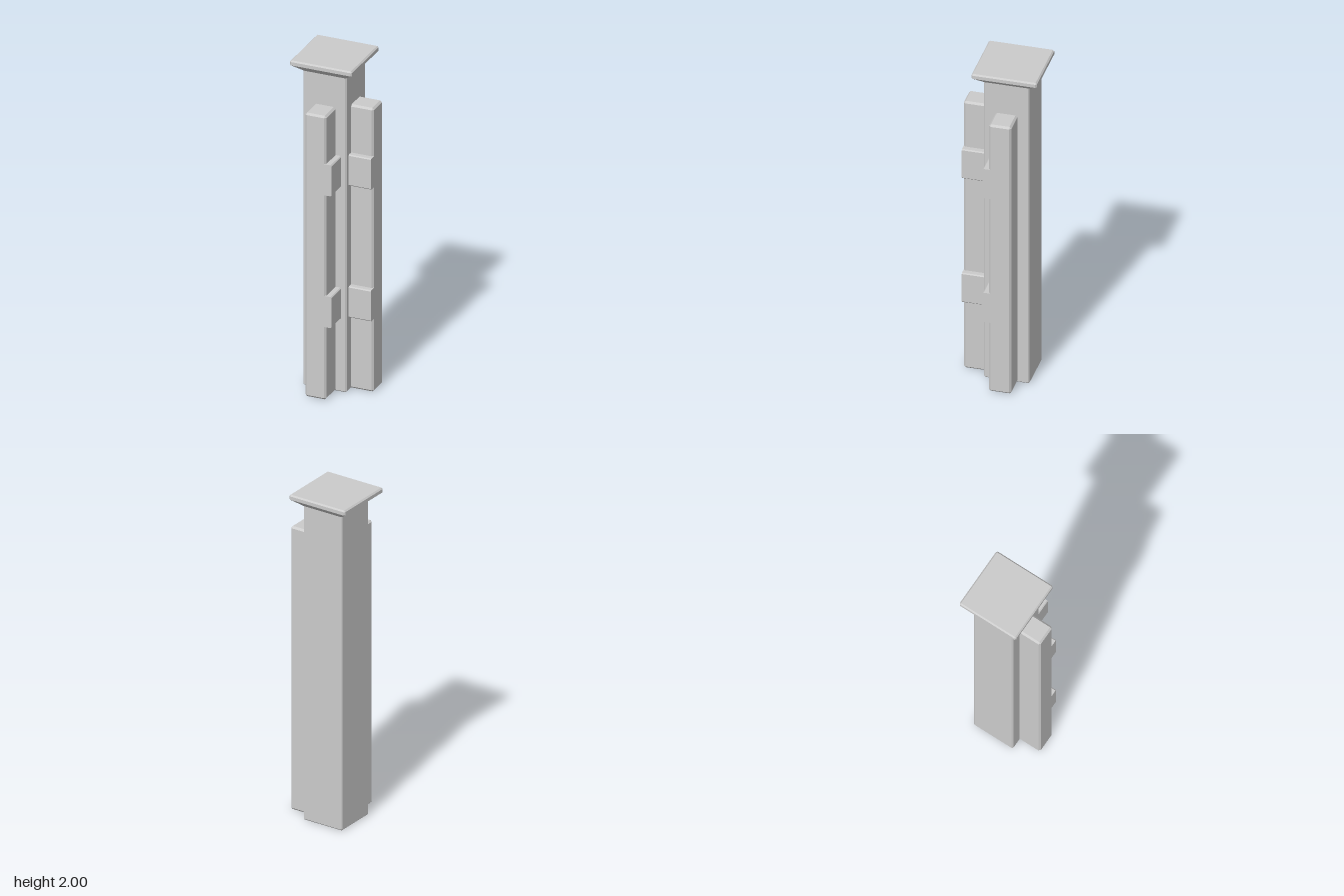
import * as THREE from 'three';
import { ConvexGeometry } from 'three/addons/geometries/ConvexGeometry.js';

const material = new THREE.MeshStandardMaterial({ color: 0xcccccc, flatShading: true });

// Corner points of a box with every edge chamfered by c
function chamferedBox([x0, x1], [y0, y1], [z0, z1], c) {
  const points = [];
  for (const [x, sx] of [[x0, 1], [x1, -1]])
    for (const [y, sy] of [[y0, 1], [y1, -1]])
      for (const [z, sz] of [[z0, 1], [z1, -1]])
        points.push(
          [x, y + sy * c, z + sz * c],
          [x + sx * c, y, z + sz * c],
          [x + sx * c, y + sy * c, z]
        );
  return points;
}

// Tab running along z, chamfered only at its outer (+x) edges
function tabPoints(y0, y1) {
  const c = 0.006;
  const profile = [[0.014, y0], [0.06 - c, y0], [0.06, y0 + c], [0.06, y1 - c], [0.06 - c, y1], [0.014, y1]];
  return profile.flatMap(([x, y]) => [[x, y, 0.08], [x, y, 0.226]]);
}

// Square section around the post axis with its corners cut by c
function squareRing(y, h, c) {
  const points = [];
  for (const sx of [-1, 1])
    for (const sz of [-1, 1])
      points.push([-0.04 + sx * (h - c), y, -0.04 + sz * h], [-0.04 + sx * h, y, -0.04 + sz * (h - c)]);
  return points;
}

function solid(name, points) {
  const geometry = new ConvexGeometry(points.map((p) => new THREE.Vector3(...p)));
  const mesh = new THREE.Mesh(geometry, material);
  mesh.name = name;
  return mesh;
}

export function createModel() {
  const group = new THREE.Group();
  group.name = 'cornerPost';

  // Square post
  group.add(solid('post', chamferedBox([-0.171, 0.091], [0, 1.95], [-0.171, 0.091], 0.007)));

  // Flared cap with a bevelled slab on top
  group.add(solid('cap', [
    ...squareRing(1.925, 0.131, 0.007),
    ...squareRing(1.972, 0.188, 0.008),
    ...squareRing(1.992, 0.188, 0.008),
    ...squareRing(2, 0.18, 0.001)
  ]));

  // Two fins with tabs, mirrored across the post's diagonal
  const swap = ([x, y, z]) => [z, y, x];
  const keep = (p) => p;
  for (const [side, place] of [['front', keep], ['left', swap]]) {
    const fin = new THREE.Group();
    fin.name = side + 'Fin';
    fin.add(solid(side + 'Rail', chamferedBox([-0.102, 0.026], [0, 1.737], [0.07, 0.226], 0.011).map(place)));
    for (const [level, y0, y1] of [['Lower', 0.448, 0.638], ['Upper', 1.255, 1.445]])
      fin.add(solid(side + level + 'Tab', tabPoints(y0, y1).map(place)));
    group.add(fin);
  }
  return group;
}
